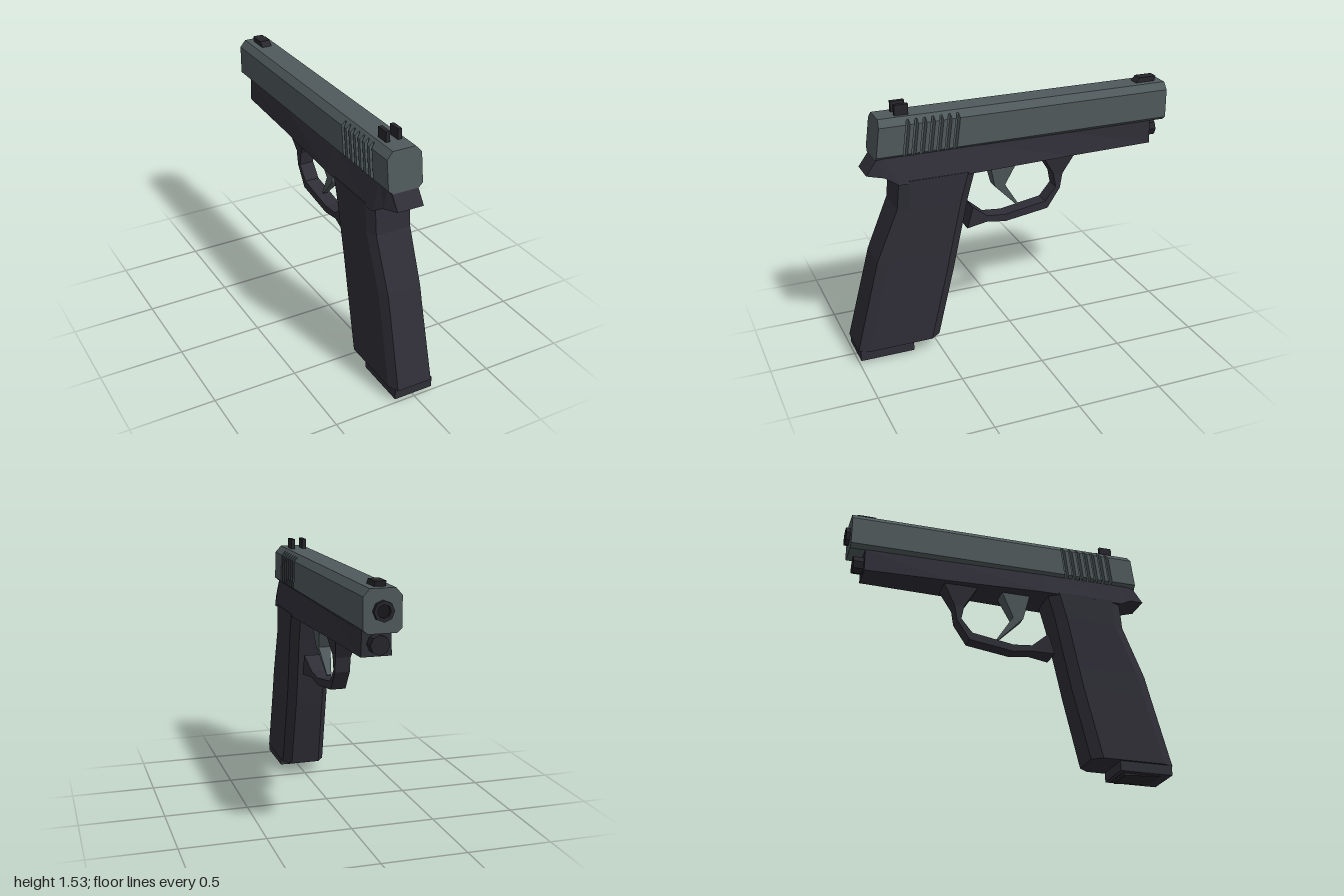
import * as THREE from 'three';

const mat = (name, color) => new THREE.MeshStandardMaterial({ name, color });

// Faceted geometry: every face keeps its own normal
function facet(geo) {
  const g = geo.index ? geo.toNonIndexed() : geo;
  g.computeVertexNormals();
  return g;
}

// Skins a series of convex rings [[x,y,z],...] and closes both ends
function loft(rings) {
  const tris = [], n = rings[0].length;
  for (let r = 0; r < rings.length - 1; r++) {
    const a = rings[r], b = rings[r + 1];
    for (let i = 0; i < n; i++) {
      const j = (i + 1) % n;
      tris.push([a[i], a[j], b[j]], [a[i], b[j], b[i]]);
    }
  }
  const first = rings[0], last = rings[rings.length - 1];
  for (let i = 1; i < n - 1; i++) {
    tris.push([first[0], first[i + 1], first[i]], [last[0], last[i], last[i + 1]]);
  }
  // Turn all faces outward if the enclosed volume is negative
  let volume = 0;
  const v = (p) => new THREE.Vector3(...p);
  for (const [a, b, c] of tris) volume += v(a).dot(v(b).cross(v(c)));
  const points = tris.flatMap((t) => (volume < 0 ? [t[0], t[2], t[1]] : t));
  const geo = new THREE.BufferGeometry();
  geo.setAttribute('position', new THREE.Float32BufferAttribute(points.flat(), 3));
  return facet(geo);
}

// Side outline of [z, y] points given a thickness in x, optionally varied by widthAt(z, y)
function sidePlate(outline, width, widthAt = () => 1) {
  const shape = new THREE.Shape(outline.map(([z, y]) => new THREE.Vector2(z, y)));
  const geo = new THREE.ExtrudeGeometry(shape, { depth: width, bevelEnabled: false });
  geo.translate(0, 0, -width / 2).rotateY(-Math.PI / 2);
  const p = geo.attributes.position;
  for (let i = 0; i < p.count; i++) p.setX(i, p.getX(i) * widthAt(p.getZ(i), p.getY(i)));
  return facet(geo);
}

// Octagonal slide section, leaning back at its rear; w is the half width
function slideRing(z, w, lean) {
  const top = 1.47 - (w < 0.1 ? 0.015 : 0.04);
  const low = w < 0.1 ? 1.238 : 1.26;
  const half = [[0.078, 1.238], [w, low], [w, top], [0.07, 1.47]];
  const ring = [...half, ...half.map(([x, y]) => [-x, y]).reverse()];
  return ring.map(([x, y]) => [x, y, z - (y - 1.238) * lean]);
}

// Grip section with chamfered corners
function gripRing([y, front, back, w]) {
  const half = [[w - 0.045, front], [w, front + 0.06], [w, back - 0.06], [w - 0.027, back]];
  return [...half, ...half.map(([x, z]) => [-x, z]).reverse()].map(([x, z]) => [x, y, z]);
}

// Frame section: wide at the bottom, narrow under the slide
const frameRing = ([z, zTop, y, yTop, w, wTop]) =>
  [[w, y, z], [wTop, yTop, zTop], [-wTop, yTop, zTop], [-w, y, z]];

export function createModel() {
  const model = new THREE.Group();
  const steel = mat('slate steel', 0x4f595b);
  const polymer = mat('dark polymer', 0x2f2e37);
  const black = mat('black metal', 0x26262b);
  const bore = mat('bore black', 0x18181b);

  const add = (name, geo, material) => {
    const mesh = new THREE.Mesh(geo, material);
    mesh.name = name;
    model.add(mesh);
    return mesh;
  };

  // Slide with seven slanted grip grooves on each side
  const rings = [slideRing(-0.975, 0.105, 0), slideRing(0.3, 0.105, 0.13)];
  for (let i = 0; i < 7; i++) {
    const z = 0.362 + i * 0.0485;
    rings.push(slideRing(z, 0.105, 0.13), slideRing(z + 0.007, 0.083, 0.13),
      slideRing(z + 0.018, 0.083, 0.13), slideRing(z + 0.025, 0.105, 0.13));
  }
  rings.push(slideRing(0.832, 0.105, 0.13));
  add('slide', loft(rings), steel);

  // Frame tapering forward, with a tang at the rear
  add('frame', loft([
    [-0.885, -0.885, 1.1, 1.24, 0.085, 0.08],
    [-0.35, -0.35, 1.1, 1.24, 0.105, 0.085],
    [0.22, 0.22, 1.1, 1.245, 0.135, 0.088],
    [0.715, 0.715, 1.095, 1.245, 0.135, 0.088],
    [0.79, 0.79, 1.14, 1.245, 0.11, 0.085],
    [0.885, 0.82, 1.155, 1.245, 0.08, 0.08],
  ].map(frameRing)), polymer);

  // Grip: height, front z, back z, half width
  add('grip', loft([
    [0.075, 0.495, 1.0, 0.135],
    [0.5, 0.39, 0.889, 0.13],
    [0.63, 0.362, 0.855, 0.13],
    [0.94, 0.295, 0.725, 0.134],
    [1.11, 0.248, 0.71, 0.135],
  ].map(gripRing)), polymer);

  // Magazine base and its catch
  add('magazineBase', sidePlate(
    [[0.99, 0.08], [0.99, 0.015], [0.665, 0.015], [0.665, 0.08]], 0.24), polymer);
  add('magazineCatch', sidePlate(
    [[0.95, 0.016], [0.705, 0], [0.69, 0.016]], 0.17), black);

  // Trigger guard, flared at both ends
  add('triggerGuard', sidePlate([
    [-0.4, 1.105], [-0.325, 0.97], [-0.31, 0.88], [-0.23, 0.76], [0.043, 0.72],
    [0.165, 0.737], [0.294, 0.727], [0.257, 0.856], [0.16, 0.775], [0.043, 0.764],
    [-0.214, 0.807], [-0.283, 0.89], [-0.267, 0.973], [-0.187, 1.105],
  ], 0.09, (z, y) => (z > 0.2 || y > 1.05 ? 1.5 : 1)), polymer);

  // Trigger, thinning towards the tip
  add('trigger', sidePlate([
    [0.144, 1.105], [0.107, 0.95], [-0.045, 0.795], [-0.053, 0.803], [0.043, 0.952], [-0.034, 1.105],
  ], 0.09, (z, y) => (y > 1 ? 1.2 : y > 0.9 ? 0.8 : 0.3)), steel);

  // Sights
  add('frontSight', sidePlate(
    [[-0.8, 1.465], [-0.83, 1.5], [-0.937, 1.5], [-0.925, 1.465]], 0.062), black);
  for (const [side, s] of [['left', 1], ['right', -1]]) {
    const post = add(side + 'RearSight', facet(new THREE.BoxGeometry(0.024, 0.07, 0.08)), black);
    post.position.set(s * 0.036, 1.496, 0.66);
  }

  // Muzzle ring with a recessed bore
  const ringProfile = [[0.056, 0], [0.056, 0.025], [0.036, 0.025], [0.036, 0.003]];
  const muzzle = add('muzzle', facet(new THREE.LatheGeometry(
    ringProfile.map((p) => new THREE.Vector2(...p)), 8)), black);
  muzzle.rotation.x = -Math.PI / 2;
  muzzle.position.set(0, 1.355, -0.975);
  const hole = add('bore', facet(new THREE.CircleGeometry(0.037, 8)), bore);
  hole.rotation.y = Math.PI;
  hole.position.set(0, 1.355, -0.979);

  // Recoil rod under the muzzle
  const rod = add('recoilRod', facet(new THREE.CylinderGeometry(0.054, 0.054, 0.09, 8)), black);
  rod.rotation.x = Math.PI / 2;
  rod.position.set(0, 1.17, -0.9);

  return model;
}
